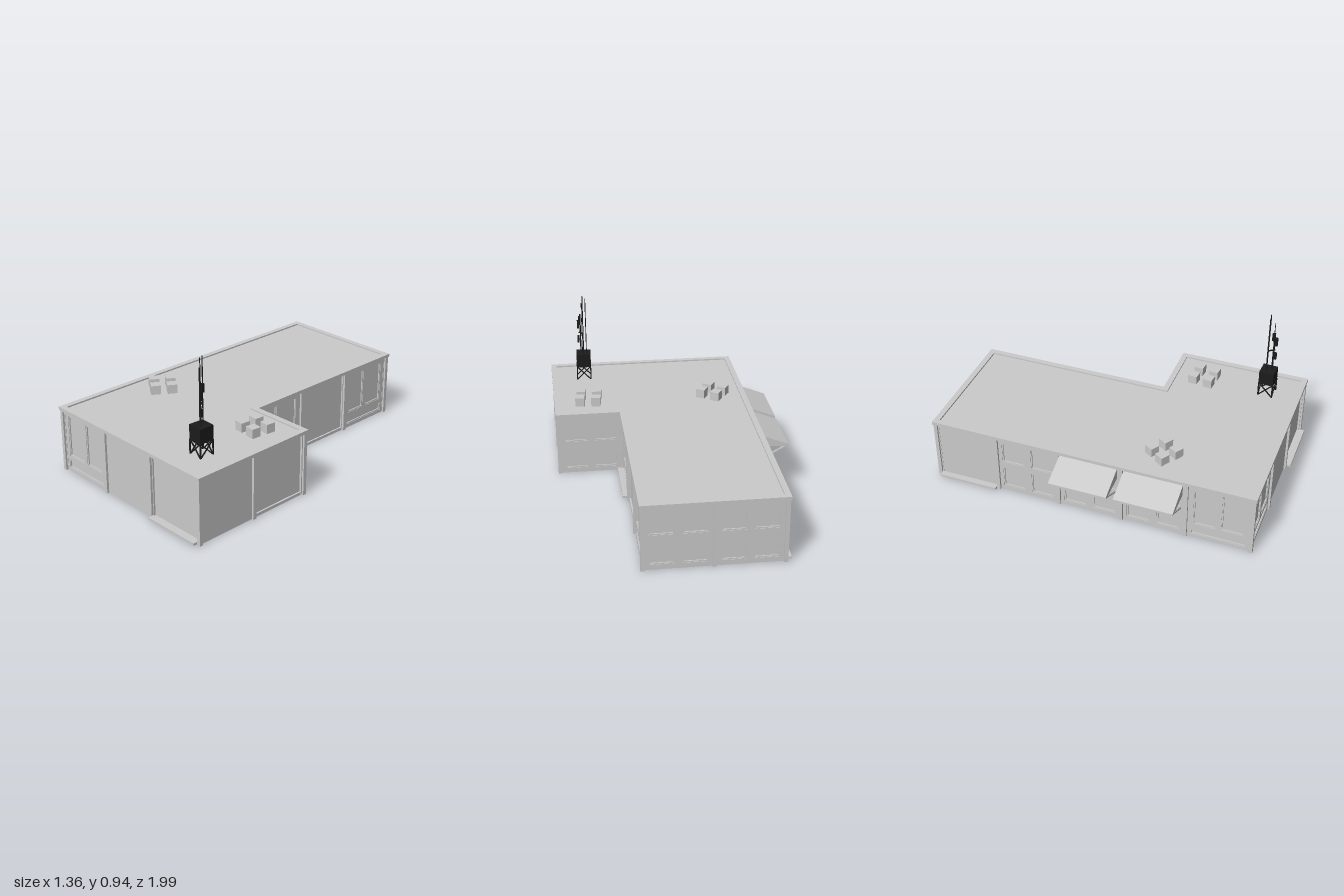
import * as THREE from 'three';

const grey = new THREE.MeshStandardMaterial({ color: 0xcccccc, side: THREE.DoubleSide });
const black = new THREE.MeshStandardMaterial({ color: 0x1c1c1c });
const BAY = 0.388, WALL_H = 0.38, X0 = -0.505, Z0 = -0.98;

function add(parent, name, geometry, material = grey, x = 0, y = 0, z = 0) {
  const mesh = new THREE.Mesh(geometry, material);
  mesh.name = name;
  mesh.position.set(x, y, z);
  parent.add(mesh);
  return mesh;
}

function box(parent, name, w, h, d, x, y, z, material = grey) {
  return add(parent, name, new THREE.BoxGeometry(w, h, d), material, x, y, z);
}

// Thin square bar between two points
function bar(parent, name, a, b, size, material) {
  const from = new THREE.Vector3(...a), to = new THREE.Vector3(...b);
  const mesh = box(parent, name, size, size, from.distanceTo(to), 0, 0, 0, material);
  mesh.position.copy(from).add(to).multiplyScalar(0.5);
  mesh.lookAt(to);
  return mesh;
}

function rectPath(path, [x1, y1, x2, y2]) {
  return path.moveTo(x1, y1).lineTo(x2, y1).lineTo(x2, y2).lineTo(x1, y2).closePath();
}

// Recessed openings for each kind of bay: [left, bottom, right, top]
const OPENINGS = {
  plain: [],
  framed: [[-0.178, 0.018, 0.178, 0.372]],
  tall: [[-0.15, 0.1, -0.015, 0.355], [0.015, 0.1, 0.15, 0.355], [-0.162, 0.022, 0.162, 0.075]],
  grid: [[-0.16, 0.03, -0.022, 0.17], [0.022, 0.03, 0.16, 0.17],
    [-0.16, 0.21, -0.022, 0.35], [0.022, 0.21, 0.16, 0.35]],
  shop: [[-0.165, 0.2, 0.165, 0.36], [-0.16, 0.03, -0.022, 0.17], [0.022, 0.03, 0.16, 0.17]],
};

function wallBay(parent, kind, x, z, angle, step) {
  const bay = new THREE.Group();
  bay.name = kind + 'WallBay';
  const half = BAY / 2;
  const shape = rectPath(new THREE.Shape(), [-half, 0, half, WALL_H]);
  for (const r of OPENINGS[kind]) {
    shape.holes.push(rectPath(new THREE.Path(), r));
    // Slim inner casing around each opening
    if (kind !== 'framed') {
      const [a, b, c, d] = r, t = 0.007;
      const casing = rectPath(new THREE.Shape(), r);
      casing.holes.push(rectPath(new THREE.Path(), [a + t, b + t, c - t, d - t]));
      add(bay, 'casing', new THREE.ExtrudeGeometry(casing, { depth: 0.008, bevelEnabled: false }), grey, 0, 0, -0.013);
    }
  }
  add(bay, 'wall', new THREE.ExtrudeGeometry(shape, { depth: 0.01, bevelEnabled: false }), grey, 0, 0, -0.012);
  box(bay, 'backPanel', BAY, WALL_H, 0.006, 0, WALL_H / 2, -0.015);
  if (step) box(bay, 'doorStep', 0.366, 0.014, 0.04, 0, 0.012, 0.015);
  bay.position.set(x, 0, z);
  bay.rotation.y = angle;
  parent.add(bay);
}

// L-shaped plan grown outward by d, drawn as x and z
function planPoints(d) {
  const x1 = X0 + 2 * BAY + d, x2 = X0 + 3 * BAY + d, zi = Z0 + 3 * BAY - d, zf = Z0 + 5 * BAY + d;
  return [[X0 - d, Z0 - d], [x1, Z0 - d], [x1, zi], [x2, zi], [x2, zf], [X0 - d, zf]]
    .map(([x, z]) => new THREE.Vector2(x, z));
}

function flatSlab(shape, depth) {
  return new THREE.ExtrudeGeometry(shape, { depth, bevelEnabled: false }).rotateX(Math.PI / 2);
}

function buildWalls(parent) {
  const walls = new THREE.Group();
  walls.name = 'walls';
  const zBay = i => Z0 + (4.5 - i) * BAY, xBay = i => X0 + (i + 0.5) * BAY;
  const q = Math.PI / 2;
  ['tall', 'plain', 'framed'].forEach((k, i) => wallBay(walls, k, xBay(i), Z0 + 5 * BAY, 0, i === 2));
  ['grid', 'grid'].forEach((k, i) => wallBay(walls, k, xBay(i), Z0, Math.PI));
  wallBay(walls, 'grid', xBay(2), Z0 + 3 * BAY, Math.PI);
  ['plain', 'framed', 'tall', 'framed', 'tall'].forEach((k, i) =>
    wallBay(walls, k, X0 + (i < 2 ? 3 : 2) * BAY, zBay(i), q, i === 2));
  ['tall', 'shop', 'shop', 'grid', 'plain'].forEach((k, i) => wallBay(walls, k, X0, zBay(i), -q, i === 4));

  // Posts at every bay joint on the outline
  for (let i = 0; i <= 3; i++) {
    for (let j = 0; j <= 5; j++) {
      const onWall = i === 0 || j === 5 || (i === 3 && j >= 3) || (i === 2 && j <= 3) || (i === 1 && j === 0);
      if (onWall) box(walls, 'post', 0.022, WALL_H, 0.022, X0 + i * BAY, WALL_H / 2, Z0 + j * BAY);
    }
  }
  parent.add(walls);
}

function buildRoof(parent) {
  const roof = new THREE.Group();
  roof.name = 'roof';
  add(roof, 'roofDeck', flatSlab(new THREE.Shape(planPoints(0)), 0.012), grey, 0, 0.391, 0);
  const rim = new THREE.Shape(planPoints(0.016));
  rim.holes.push(new THREE.Path(planPoints(-0.018)));
  add(roof, 'roofRim', flatSlab(rim, 0.02), grey, 0, 0.4, 0);
  parent.add(roof);
}

function buildAwning(parent, z) {
  const awning = new THREE.Group();
  awning.name = 'awning';
  const w = 0.35;
  const profile = new THREE.Shape([[-0.507, 0.37], [-0.682, 0.302], [-0.682, 0.287], [-0.507, 0.298]]
    .map(p => new THREE.Vector2(...p)));
  add(awning, 'canopy', new THREE.ExtrudeGeometry(profile, { depth: w, bevelEnabled: false }), grey, 0, 0, -w / 2);
  for (const s of [-1, 1]) {
    bar(awning, 'strut', [-0.667, 0.287, s * 0.165], [-0.508, 0.2, s * 0.165], 0.009, grey);
  }
  awning.position.z = z;
  parent.add(awning);
}

function buildRoofUnits(parent, centres, angle) {
  const units = new THREE.Group();
  units.name = 'roofUnits';
  for (const [x, z] of centres) {
    box(units, 'roofUnit', 0.057, 0.06, 0.057, x, 0.416, z).rotation.y = angle;
  }
  parent.add(units);
}

function buildMast(parent) {
  const mast = new THREE.Group();
  mast.name = 'antennaMast';
  const r = 0.043, low = 0.39, high = 0.478;
  // Cross-braced stand, one side at a time
  for (let i = 0; i < 4; i++) {
    const side = new THREE.Group();
    side.name = 'standSide';
    bar(side, 'leg', [-r, low, r], [-r, high, r], 0.007, black);
    bar(side, 'brace', [-r, low, r], [r, high, r], 0.006, black);
    bar(side, 'brace', [r, low, r], [-r, high, r], 0.006, black);
    bar(side, 'rail', [-r, high, r], [r, high, r], 0.007, black);
    side.rotation.y = i * Math.PI / 2;
    mast.add(side);
  }
  box(mast, 'equipmentBox', 0.09, 0.087, 0.09, 0, 0.518, 0, black);

  // Rods: x, z, top height, radius
  for (const [x, z, top, rad] of [[-0.019, -0.012, 0.93, 0.0025], [-0.001, -0.013, 0.945, 0.003],
    [0.016, 0.016, 0.815, 0.004], [0.006, 0.014, 0.89, 0.002]]) {
    add(mast, 'rod', new THREE.CylinderGeometry(rad, rad, top - 0.55, 8), black, x, (top + 0.55) / 2, z);
  }
  bar(mast, 'crossArm', [-0.003, 0.692, -0.013], [0.026, 0.692, 0.02], 0.006, black);
  // Panel antennas
  for (const [x, y, z, h] of [[0.03, 0.745, 0.024, 0.055], [0.03, 0.645, 0.024, 0.045], [0.022, 0.78, 0.006, 0.05]]) {
    box(mast, 'panelAntenna', 0.013, h, 0.015, x, y, z, black);
    bar(mast, 'bracket', [0.016, y, 0.016], [x, y, z], 0.005, black);
  }
  mast.position.set(0.467, 0, 0.768);
  mast.rotation.y = -0.05;
  parent.add(mast);
}

export function createModel() {
  const model = new THREE.Group();
  model.name = 'building';
  buildWalls(model);
  buildRoof(model);
  for (const z of [-0.015, 0.375]) buildAwning(model, z);
  buildRoofUnits(model, [[-0.325, 0.305], [-0.245, 0.362], [-0.381, 0.385], [-0.3, 0.441]], -0.55);
  buildRoofUnits(model, [[0.42, 0.318], [0.517, 0.328], [0.41, 0.415], [0.505, 0.426]], -0.1);
  buildMast(model);
  return model;
}
